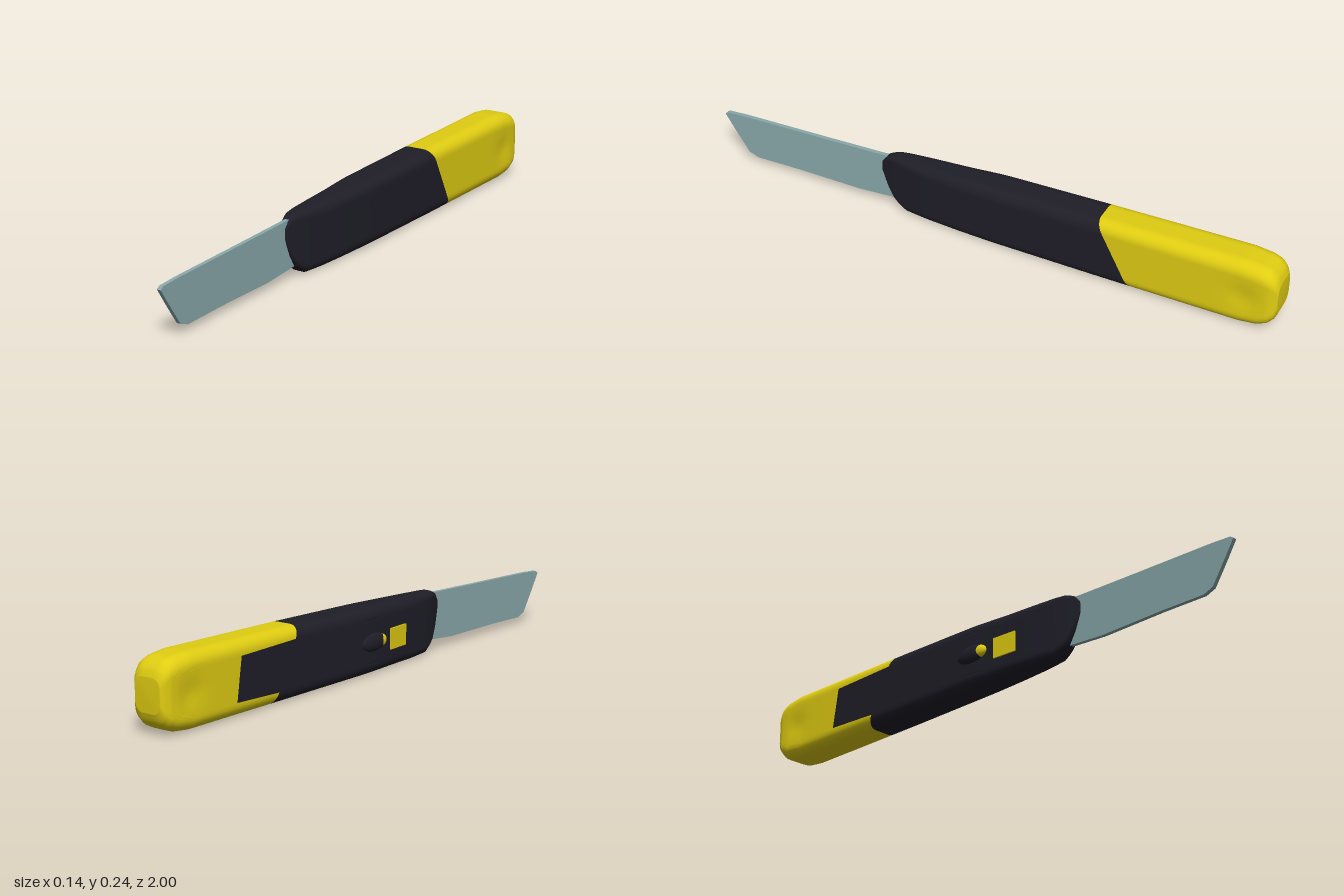
import * as THREE from 'three';

const mat = (name, color) => {
  const m = new THREE.MeshStandardMaterial({ color });
  m.name = name;
  return m;
};

// Handle stations: z, x min, x max, y min, y max, corner radius
const STATIONS = [
  [-1, -0.05, 0.048, 0.07, 0.175, 0.03],
  [-0.99, -0.06, 0.058, 0.042, 0.2, 0.035],
  [-0.97, -0.068, 0.066, 0.022, 0.22, 0.04],
  [-0.94, -0.071, 0.069, 0.008, 0.23, 0.042],
  [-0.88, -0.072, 0.07, 0.001, 0.236, 0.042],
  [-0.4, -0.063, 0.07, 0, 0.229, 0.038],
  [-0.03, -0.057, 0.068, 0, 0.221, 0.036],
  [0.1, -0.046, 0.063, 0, 0.217, 0.035],
  [0.22, -0.037, 0.054, 0, 0.214, 0.032],
  [0.3, -0.026, 0.043, 0.003, 0.212, 0.025],
  [0.34, -0.017, 0.036, 0.03, 0.21, 0.02],
  [0.37, -0.006, 0.028, 0.08, 0.198, 0.012],
  [0.39, 0.002, 0.022, 0.13, 0.175, 0.008],
];

function section(z) {
  let i = 0;
  while (i < STATIONS.length - 2 && z > STATIONS[i + 1][0]) i++;
  const a = STATIONS[i], b = STATIONS[i + 1];
  const t = THREE.MathUtils.clamp((z - a[0]) / (b[0] - a[0]), 0, 1);
  return a.map((v, k) => v + (b[k] - v) * t);
}

// Rounded rectangle, counter-clockwise seen from +z
function ring(z) {
  const [, x0, x1, y0, y1, r] = section(z);
  const centres = [[x1 - r, y1 - r], [x0 + r, y1 - r], [x0 + r, y0 + r], [x1 - r, y0 + r]];
  const at = (c, a) => [centres[c][0] + r * Math.cos(a), centres[c][1] + r * Math.sin(a)];
  const pts = [];
  for (let c = 0; c < 4; c++) {
    const a = c * Math.PI / 2, e = a + Math.PI / 2;
    for (let k = 0; k <= 7; k++) pts.push(at(c, a + k / 7 * Math.PI / 2));
    const p = at(c, e), q = at((c + 1) % 4, e), n = c % 2 ? 24 : 10;
    for (let k = 1; k < n; k++) {
      pts.push([p[0] + (q[0] - p[0]) * k / n, p[1] + (q[1] - p[1]) * k / n]);
    }
  }
  return pts;
}

// Colour seam: slanted all round, with a panel reaching back on the right side
const seam = ring(-0.5).map(([x, y]) =>
  x < -0.055 && y > 0.04 && y < 0.188 ? -0.7 + 0.03 * (y / 0.19) : -0.4 - 0.12 * (1 - y / 0.23));

// Skin along z between per-column limits, closed by a cap at one end
function loft(from, to, steps, capFirst) {
  const n = seam.length, rows = [];
  for (let i = 0; i < steps.length; i++) {
    const row = [];
    for (let j = 0; j < n; j++) {
      const z = from(j) + (to(j) - from(j)) * steps[i];
      const [x, y] = ring(z)[j];
      // shallow thumb hollows near the butt
      const dent = 0.006 * Math.exp(-(((z + 0.89) / 0.05) ** 2) - ((y - 0.115) / 0.045) ** 2);
      row.push([x - Math.sign(x) * dent * (Math.abs(x) > 0.04 ? 1 : 0), y, z]);
    }
    rows.push(row);
  }
  const end = capFirst ? rows[0] : rows[rows.length - 1];
  const s = section(end[0][2]);
  const cap = end.map(() => [(s[1] + s[2]) / 2, (s[3] + s[4]) / 2, end[0][2] + (capFirst ? -0.001 : 0.004)]);
  if (capFirst) rows.unshift(cap); else rows.push(cap);

  const index = [];
  for (let i = 0; i < rows.length - 1; i++) {
    for (let j = 0; j < n; j++) {
      const k = (j + 1) % n;
      const a = i * n + j, b = i * n + k, c = b + n, d = a + n;
      index.push(a, b, c, a, c, d);
    }
  }
  const g = new THREE.BufferGeometry();
  g.setAttribute('position', new THREE.Float32BufferAttribute(rows.flat(2), 3));
  g.setIndex(index);
  g.computeVertexNormals();
  return g;
}

export function createModel() {
  const model = new THREE.Group();
  model.name = 'utilityKnife';
  const yellow = mat('yellow plastic', 0xe0cd12);
  const black = mat('black plastic', 0x1f1e28);
  const steel = mat('blade steel', 0x8aa9ac);

  const add = (name, geometry, material) => {
    const m = new THREE.Mesh(geometry, material);
    m.name = name;
    model.add(m);
    return m;
  };

  // Butt and sleeve share the seam; steps are denser at the rounded ends
  const steps = Array.from({ length: 37 }, (_, i) => i / 36);
  add('buttGrip', loft(() => -1, j => seam[j], steps.map(t => t ** 1.7), true), yellow);
  add('sleeve', loft(j => seam[j], () => 0.39, steps.map(t => 1 - (1 - t) ** 1.5), false), black);

  // Blade with a slanted tip
  const outline = new THREE.Shape([
    [0.3, 0.04], [0.48, 0.026], [0.72, 0.026], [0.88, 0.022], [0.915, 0.035], [0.965, 0.11],
    [1, 0.165], [0.99, 0.173], [0.92, 0.178], [0.6, 0.188], [0.4, 0.195], [0.3, 0.2],
  ].map(p => new THREE.Vector2(...p)));
  const blade = new THREE.ExtrudeGeometry(outline, { depth: 0.014, bevelEnabled: false });
  blade.rotateY(-Math.PI / 2).translate(0.02, 0, 0);
  add('blade', blade, steel);

  // Thumb slider: dark hump, bright nub and flush pad
  const hump = add('sliderHump', new THREE.SphereGeometry(1, 24, 16), black);
  hump.scale.set(0.017, 0.03, 0.06);
  hump.position.set(-0.056, 0.108, -0.03);
  const nub = add('sliderNub', new THREE.SphereGeometry(1, 24, 16), yellow);
  nub.scale.set(0.015, 0.022, 0.03);
  nub.position.set(-0.055, 0.108, 0.005);
  const pad = add('sliderPad', new THREE.BoxGeometry(0.008, 0.07, 0.09), yellow);
  pad.position.set(-0.046, 0.1, 0.11);
  pad.rotation.y = 0.08;

  return model;
}
